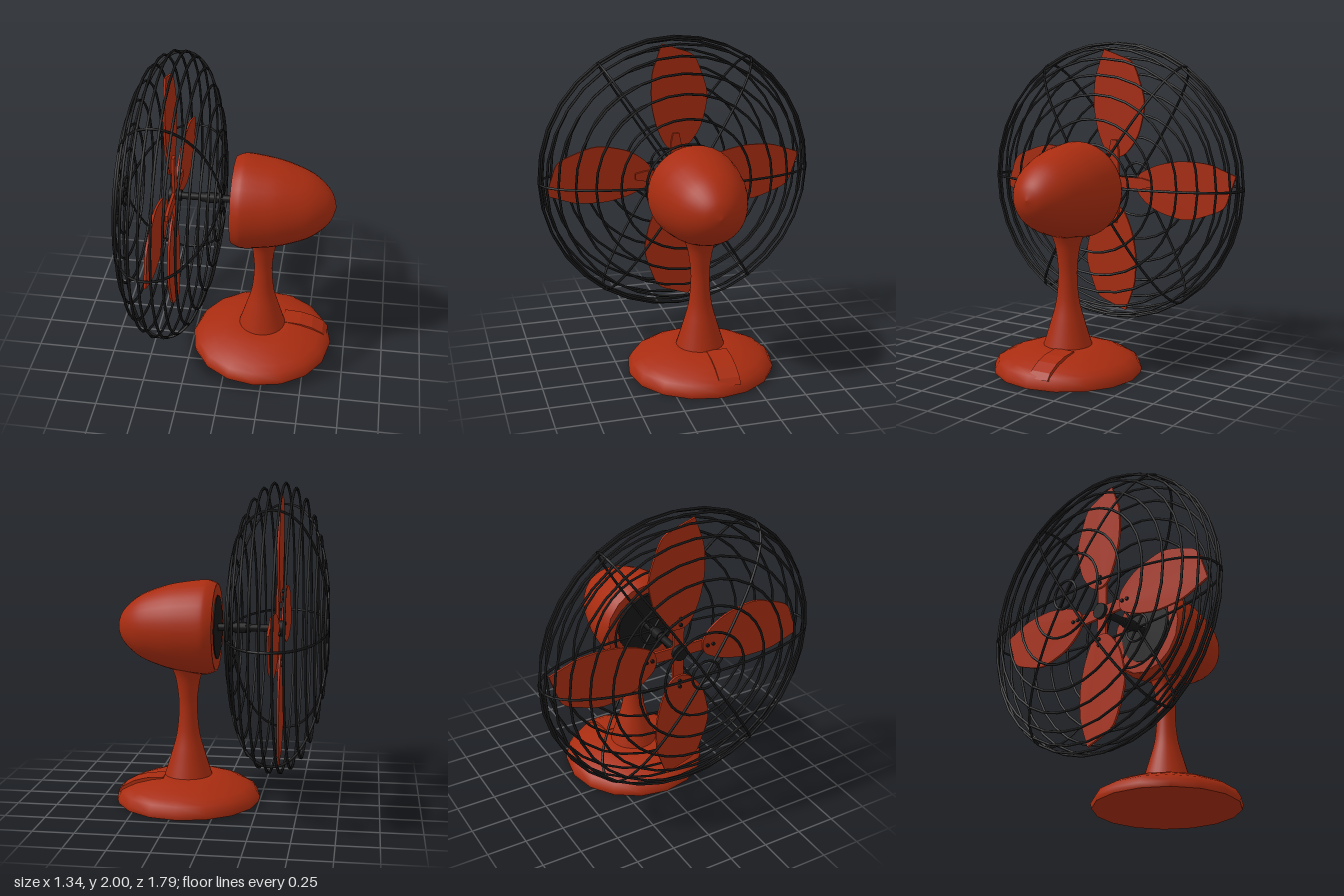
import * as THREE from 'three';

const AXIS_Y = 1.106, CAGE_X = -0.3625, STAND_X = 0.205;
const red = new THREE.MeshStandardMaterial({ color: 0xa82c10 });
const black = new THREE.MeshStandardMaterial({ color: 0x161616 });
const redDouble = red.clone();
redDouble.side = THREE.DoubleSide;

function add(parent, name, geometry, material, x = 0, y = 0, z = 0) {
  const mesh = new THREE.Mesh(geometry, material);
  mesh.name = name;
  mesh.position.set(x, y, z);
  parent.add(mesh);
  return mesh;
}
const points = list => list.map(([a, b]) => new THREE.Vector2(a, b));

// cylinder along x between two x positions
function rod(parent, name, x0, x1, radius, material = black) {
  const geometry = new THREE.CylinderGeometry(radius, radius, x1 - x0, 16).rotateZ(Math.PI / 2);
  add(parent, name, geometry, material, (x0 + x1) / 2);
}

// outline drawn in the blade plane, given thickness along +x
function plate(list, depth, smooth) {
  let shape = new THREE.Shape(points(list));
  if (smooth) {
    shape = new THREE.Shape();
    shape.moveTo(...list[0]);
    shape.splineThru(points(list.slice(1)));
  }
  return new THREE.ExtrudeGeometry(shape, { depth, bevelEnabled: false, curveSegments: 24 })
    .rotateY(Math.PI / 2);
}

function makeCage() {
  const cage = new THREE.Group();
  cage.name = 'cage';
  cage.position.x = CAGE_X;
  // [offset along the axis, ring radius]
  const half = [[0.035, 0.885], [0.097, 0.855], [0.157, 0.79], [0.207, 0.69],
    [0.247, 0.57], [0.276, 0.42], [0.295, 0.265], [0.302, 0.09]];
  for (const side of [-1, 1]) {
    for (const [x, r] of half) {
      add(cage, 'cageRing', new THREE.TorusGeometry(r, 0.008, 6, 32).rotateY(Math.PI / 2), black, side * x);
    }
  }
  // six spokes, each running from pole to pole
  const profile = [[-0.303, 0], ...half.map(([x, r]) => [-x, r]).reverse(), ...half, [0.303, 0]];
  for (const degrees of [0, 56.5, 123.5, 180, 236.5, 303.5]) {
    const a = THREE.MathUtils.degToRad(degrees);
    const path = new THREE.CatmullRomCurve3(
      profile.map(([x, r]) => new THREE.Vector3(x, r * Math.sin(a), r * Math.cos(a))));
    add(cage, 'cageSpoke', new THREE.TubeGeometry(path, 60, 0.008, 6), black);
  }
  return cage;
}

function makeRotor() {
  const rotor = new THREE.Group();
  rotor.name = 'rotor';
  const bladeGeometry = plate([[-0.085, 0.845], [0.02, 0.81], [0.12, 0.765], [0.175, 0.65],
    [0.21, 0.525], [0.2, 0.42], [0.16, 0.29], [0.08, 0.185], [0.01, 0.16], [-0.06, 0.185],
    [-0.115, 0.29], [-0.145, 0.4], [-0.157, 0.5], [-0.15, 0.65], [-0.12, 0.75], [-0.085, 0.845]], 0.014, true);
  const armGeometry = plate([[-0.035, 0], [0.035, 0], [0.035, 0.2], [0.02, 0.27],
    [-0.02, 0.27], [-0.035, 0.2]], 0.018, false);
  for (let i = 0; i < 4; i++) {
    const unit = new THREE.Group();
    unit.name = 'bladeUnit';
    unit.rotation.x = i * Math.PI / 2;
    add(unit, 'blade', bladeGeometry, redDouble, -0.379);
    add(unit, 'bladeArm', armGeometry, red, -0.365);
    for (const y of [0.19, 0.23]) {
      const rivet = new THREE.CylinderGeometry(0.011, 0.011, 0.014, 8).rotateZ(Math.PI / 2);
      add(unit, 'rivet', rivet, black, -0.384, y);
    }
    rotor.add(unit);
  }
  rod(rotor, 'hubCap', -0.388, -0.365, 0.05);
  rod(rotor, 'hub', -0.35, -0.31, 0.035);
  rod(rotor, 'shaft', -0.32, 0.03, 0.023);
  rod(rotor, 'shaftCollar', -0.19, -0.06, 0.028);
  rod(rotor, 'shaftSleeve', -0.16, -0.09, 0.034);
  return rotor;
}

function makeMotor() {
  const motor = new THREE.Group();
  motor.name = 'motor';
  // smooth egg-shaped shell, turned from +y to +x
  const curve = new THREE.SplineCurve(points([[0.272, 0.02], [0.29, 0.06], [0.295, 0.1],
    [0.284, 0.2], [0.262, 0.32], [0.21, 0.47], [0.15, 0.56], [0.08, 0.62], [0, 0.645]]));
  add(motor, 'motorShell', new THREE.LatheGeometry(curve.getPoints(32), 32).rotateZ(-Math.PI / 2), redDouble);
  rod(motor, 'motorFace', 0.02, 0.03, 0.272, red);
  rod(motor, 'motorVent', 0.014, 0.022, 0.2);
  return motor;
}

function makeStand() {
  const stand = new THREE.Group();
  stand.name = 'stand';
  stand.position.x = STAND_X;
  // faceted round base with a domed top
  const base = points([[0, 0], [0.45, 0], [0.45, 0], [0.457, 0.03], [0.43, 0.075],
    [0.385, 0.1], [0.33, 0.125], [0.25, 0.15], [0.17, 0.163], [0, 0.165]]);
  add(stand, 'base', new THREE.LatheGeometry(base, 16), red);
  // waisted column
  const neck = new THREE.SplineCurve(points([[0.15, 0.16], [0.107, 0.3], [0.072, 0.43],
    [0.058, 0.58], [0.062, 0.68], [0.08, 0.79], [0.115, 0.87]]));
  add(stand, 'column', new THREE.LatheGeometry(neck.getPoints(28), 32), redDouble);
  // sloping control wedge on the base
  const wedge = new THREE.Shape(points([[0.14, 0.1], [0.38, 0.05], [0.43, 0.062],
    [0.4, 0.1], [0.33, 0.138], [0.25, 0.16], [0.14, 0.168]]));
  add(stand, 'controlWedge',
    new THREE.ExtrudeGeometry(wedge, { depth: 0.13, bevelEnabled: false }), red, 0, 0, -0.13);
  return stand;
}

export function createModel() {
  const fan = new THREE.Group();
  fan.name = 'deskFan';
  const head = new THREE.Group();
  head.name = 'head';
  head.position.y = AXIS_Y;
  head.add(makeCage(), makeRotor(), makeMotor());
  fan.add(head, makeStand());
  return fan;
}
